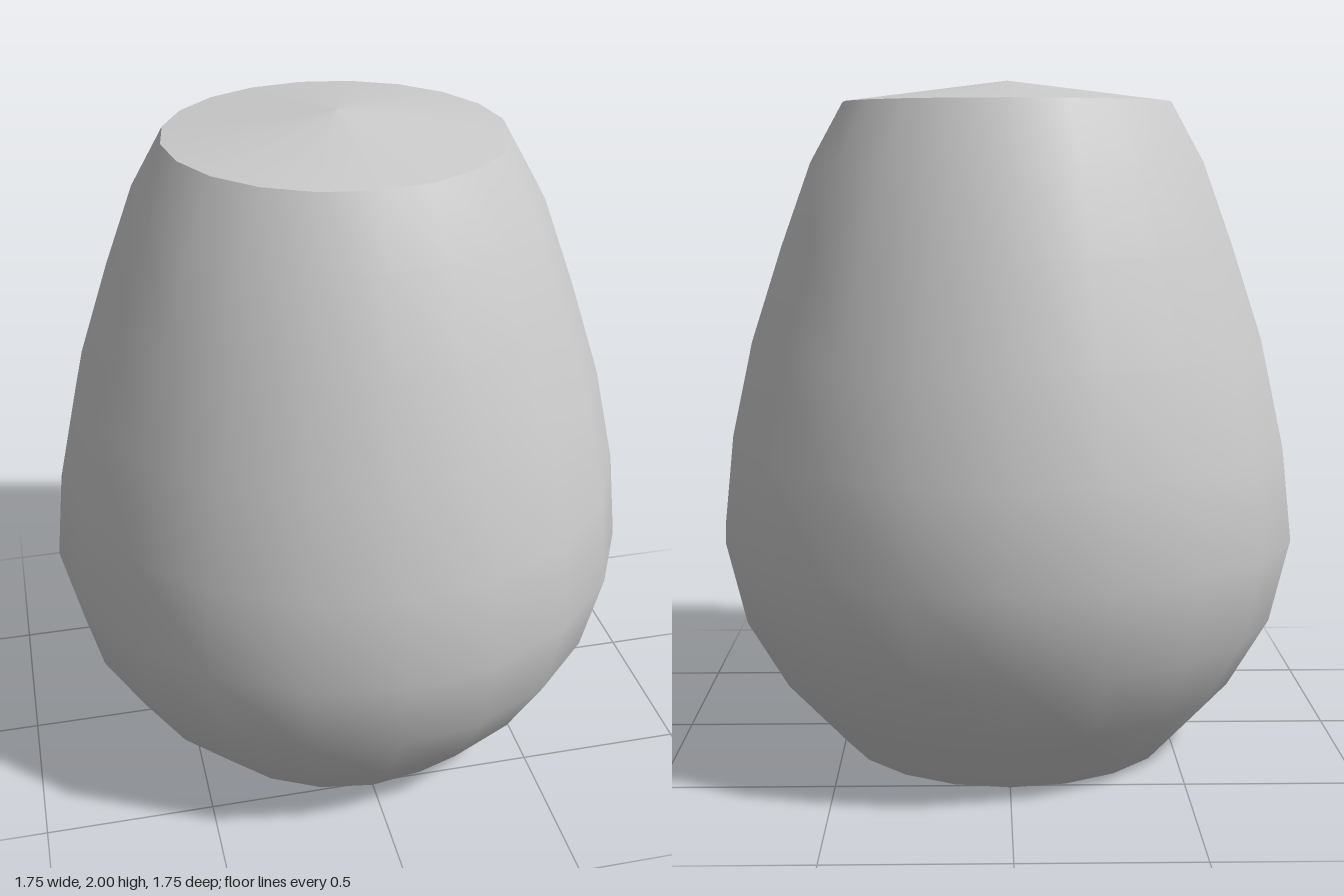
import * as THREE from 'three';

const SIDES = 20;
const RIM_Y = 1.937;

// Half profile of the shell, radius and height
const PROFILE = [
  [0.515, 0], [0.695, 0.2], [0.815, 0.41], [0.873, 0.66], [0.843, 0.93],
  [0.778, 1.22], [0.682, 1.51], [0.59, 1.76], [0.49, RIM_Y],
];

// Turns a profile around y; the rim leans very slightly towards the back
function turned(name, profile, material) {
  const points = profile.map(([r, y]) => new THREE.Vector2(r, y));
  const geometry = new THREE.LatheGeometry(points, SIDES);
  const pos = geometry.attributes.position;
  for (let i = 0; i < pos.count; i++) {
    if (Math.abs(pos.getY(i) - RIM_Y) > 0.001) continue;
    const z = pos.getZ(i);
    pos.setXYZ(i, pos.getX(i), RIM_Y + z * 0.01, z - 0.008);
  }
  const mesh = new THREE.Mesh(geometry, material);
  mesh.name = name;
  return mesh;
}

export function createModel() {
  const group = new THREE.Group();
  group.name = 'truncatedEgg';
  const material = new THREE.MeshStandardMaterial({ color: 0xcccccc });

  // Smooth egg-shaped wall
  group.add(turned('shell', PROFILE, material));

  // Shallow conical lid, with a sharp edge against the wall
  group.add(turned('topCap', [PROFILE[PROFILE.length - 1], [0, 2]], material));

  // Flat underside
  group.add(turned('base', [[0, 0], PROFILE[0]], material));

  return group;
}
